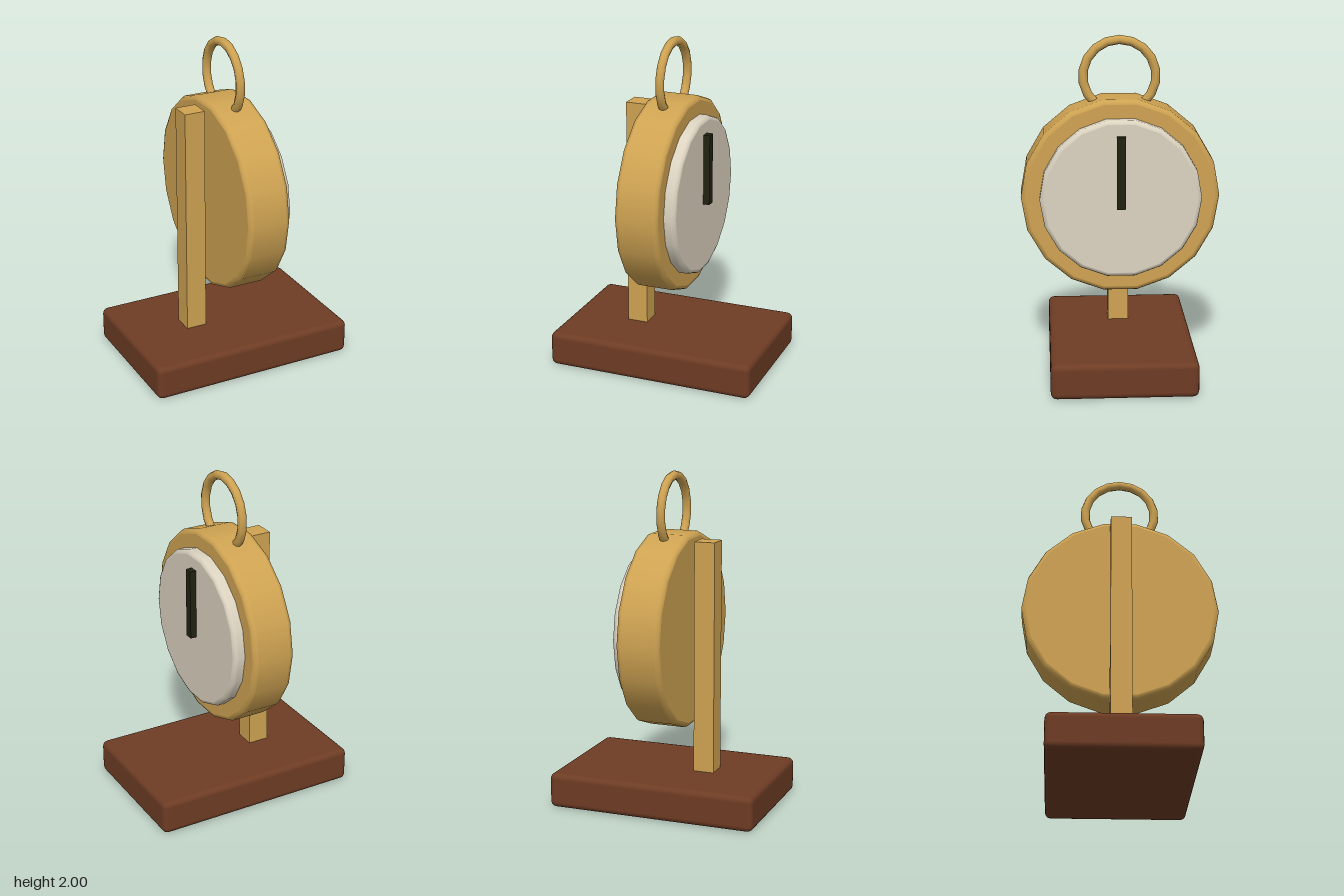
import * as THREE from 'three';
import { RoundedBoxGeometry } from 'three/addons/geometries/RoundedBoxGeometry.js';

const material = (name, color) => {
  const m = new THREE.MeshStandardMaterial({ color });
  m.name = name;
  return m;
};

export function createModel() {
  const model = new THREE.Group();
  const brass = material('brass', 0xcfa352);
  const wood = material('wood', 0x6e3c24);
  const cream = material('cream', 0xdcd3c0);
  const black = material('black', 0x222212);

  const add = (name, geometry, mat, x, y, z) => {
    const mesh = new THREE.Mesh(geometry, mat);
    mesh.name = name;
    mesh.position.set(x, y, z);
    model.add(mesh);
    return mesh;
  };

  // Eighteen-sided disc with bevelled rims and flat faces, axis along x
  const disc = (radius, width, bevel) => {
    const h = width / 2, k = bevel * 0.3;
    const half = [[0, h], [radius - bevel - 0.003, h], [radius - bevel, h],
      [radius - k, h - k], [radius, h - bevel], [radius, h - bevel - 0.003]];
    const profile = [
      ...half.map(([r, y]) => new THREE.Vector2(r, -y)),
      ...half.reverse().map(([r, y]) => new THREE.Vector2(r, y)),
    ];
    return new THREE.LatheGeometry(profile, 18).rotateZ(-Math.PI / 2);
  };

  // Stand
  add('base', new RoundedBoxGeometry(1.27, 0.21, 0.85, 2, 0.035), wood, 0, 0.11, 0);
  add('post', new THREE.BoxGeometry(0.125, 1.4, 0.125), brass, -0.2125, 0.9, 0);

  // Watch body
  add('case', disc(0.583, 0.26, 0.025), brass, 0, 1.066, 0);
  add('dial', disc(0.474, 0.13, 0.022), cream, 0.132, 1.066, 0);
  add('hand', new THREE.BoxGeometry(0.05, 0.425, 0.052), black, 0.21, 1.23, 0);

  // Hanging ring, in the plane of the case
  const ring = new THREE.TorusGeometry(0.213, 0.027, 8, 18);
  ring.rotateZ(Math.PI / 2).rotateY(Math.PI / 2);
  add('ring', ring, brass, 0, 1.76, 0);

  return model;
}
